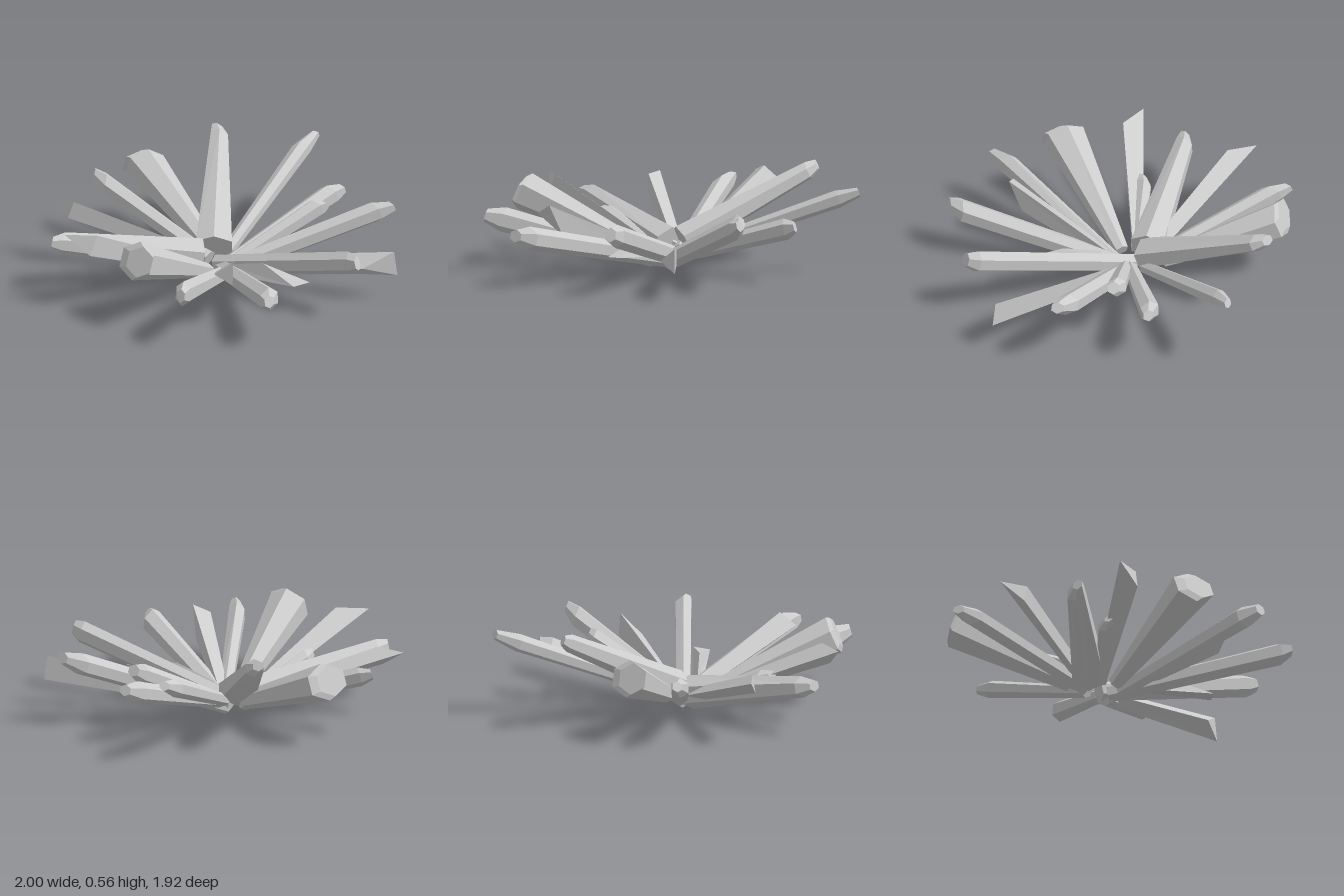
import * as THREE from 'three';

const material = new THREE.MeshStandardMaterial({ color: 0xcccccc, flatShading: true });

// One crystal: a tapering prism from base to tip, closed by a bevelled or slanted end.
// w/h = [base, end] width and height, bevel = length of the point, k = size of the end facet,
// slant = how far one side runs ahead of the other, tilt = the same from bottom to top.
function crystal({ name, base, tip, w, h = w, sides = 6, roll = 0, bevel = 0.09, k = 0.55, slant = 0.02, tilt = 0 }) {
  const start = new THREE.Vector3(...base), end = new THREE.Vector3(...tip);
  const dir = end.clone().sub(start).normalize();
  const side = new THREE.Vector3(0, 1, 0).cross(dir).normalize();
  const up = dir.clone().cross(side);

  const ring = (centre, width, height, lean, shift = 0) => Array.from({ length: sides }, (_, i) => {
    const a = ((i + 0.5) / sides) * Math.PI * 2 + roll;
    const u = Math.cos(a), v = Math.sin(a);
    return centre.clone()
      .addScaledVector(side, u * width / 2 + shift)
      .addScaledVector(up, v * height / 2)
      .addScaledVector(dir, lean * (u * slant + v * tilt));
  });

  const rings = [ring(start, w[0], h[0], 0)];
  if (bevel > 0) {
    rings.push(ring(end.clone().addScaledVector(dir, -bevel), w[1], h[1], 1));
    rings.push(ring(end, w[1] * k, h[1] * k, k, Math.sign(slant) * w[1] * 0.14));
  } else {
    rings.push(ring(end, w[1], h[1], 1));
  }

  const points = [];
  const tri = (...p) => p.forEach((q) => points.push(q.x, q.y, q.z));
  for (let r = 0; r < rings.length - 1; r++) {
    const a = rings[r], b = rings[r + 1];
    for (let i = 0; i < sides; i++) {
      const j = (i + 1) % sides;
      tri(a[i], a[j], b[j]);
      tri(a[i], b[j], b[i]);
    }
  }
  // end caps
  const first = rings[0], last = rings[rings.length - 1];
  for (let i = 1; i < sides - 1; i++) {
    tri(first[0], first[i + 1], first[i]);
    tri(last[0], last[i], last[i + 1]);
  }

  const geometry = new THREE.BufferGeometry();
  geometry.setAttribute('position', new THREE.Float32BufferAttribute(points, 3));
  geometry.computeVertexNormals();
  const mesh = new THREE.Mesh(geometry, material);
  mesh.name = name;
  return mesh;
}

export function createModel() {
  const group = new THREE.Group();
  group.name = 'crystalCluster';

  // slim pointed crystals
  const pointed = [
    { base: [-0.03, 0.1, -0.12], tip: [-0.02, 0.385, -0.94], w: [0.09, 0.11], slant: -0.04 },
    { base: [0.06, 0.13, -0.06], tip: [0.99, 0.48, -0.185], w: [0.07, 0.1], bevel: 0.13, slant: -0.02 },
    { base: [0, 0.1, 0], tip: [0.75, 0.335, 0.185], w: [0.08, 0.12], bevel: 0.07, slant: -0.02 },
    { base: [-0.02, 0.1, 0.02], tip: [0.475, 0.36, 0.28], w: [0.08, 0.11], bevel: 0.04, k: 0.65, slant: -0.02 },
    { base: [-0.06, 0.06, -0.02], tip: [0.595, 0.41, 0.665], w: [0.1, 0.12], bevel: 0.1, slant: -0.04 },
    { base: [-0.05, 0.09, -0.05], tip: [-0.065, 0.37, 0.95], w: [0.09, 0.1], h: [0.11, 0.13], bevel: 0.06, k: 0.65, slant: -0.01 },
    { base: [-0.06, 0.08, 0], tip: [-0.665, 0.305, 0.81], w: [0.1, 0.13], bevel: 0.07, slant: -0.03 },
    { base: [-0.13, 0.08, 0.04], tip: [-0.985, 0.34, 0.4], w: [0.08, 0.1], h: [0.09, 0.14], bevel: 0.1 },
    { base: [-0.15, 0.1, -0.1], tip: [-0.53, 0.28, -0.31], w: [0.07, 0.09], bevel: 0.05 },
  ];

  // heavy crystals that narrow toward the tip
  const heavy = [
    { base: [-0.01, 0.17, -0.1], tip: [0.63, 0.55, -0.55], w: [0.23, 0.11], h: [0.17, 0.1], bevel: 0.06, k: 0.6 },
    { base: [-0.09, 0.14, -0.14], tip: [-0.755, 0.31, -0.66], w: [0.21, 0.11], h: [0.19, 0.12], bevel: 0.07 },
  ];

  // crystals that flare to a broad end
  const flared = [
    { base: [0.04, 0.14, -0.18], tip: [0.27, 0.4, -0.81], w: [0.1, 0.22], h: [0.1, 0.21], bevel: 0.02, k: 0.85, slant: 0.025 },
    { base: [-0.17, 0.1, -0.02], tip: [-0.9, 0.425, 0.03], w: [0.08, 0.24], h: [0.08, 0.22], bevel: 0.02, k: 0.8, slant: 0.01 },
  ];

  // three-sided blades cut off at a slant
  const blade = { sides: 3, bevel: 0 };
  const blades = [
    { base: [-0.01, 0.1, 0.04], tip: [0.247, 0.23, 0.89], w: [0.06, 0.11], h: [0.1, 0.16], slant: 0.11 },
    { base: [-0.13, 0.12, 0.08], tip: [-0.155, 0.2, 0.53], w: [0.05, 0.11], h: [0.06, 0.13], roll: Math.PI / 6, slant: 0.02, tilt: -0.18 },
    { base: [-0.12, 0.1, 0.05], tip: [-0.6, 0.35, 0.44], w: [0.08, 0.14], h: [0.08, 0.15], slant: -0.05, tilt: 0.08 },
    { base: [-0.15, 0.1, -0.1], tip: [-0.857, 0.42, -0.355], w: [0.08, 0.16], h: [0.07, 0.14], slant: -0.083 },
    { base: [-0.06, 0.12, -0.15], tip: [-0.425, 0.37, -0.825], w: [0.08, 0.12], h: [0.08, 0.12], slant: -0.09 },
  ].map((b) => ({ ...blade, ...b }));

  const kinds = { pointedCrystal: pointed, heavyCrystal: heavy, flaredCrystal: flared, bladeCrystal: blades };
  for (const [name, list] of Object.entries(kinds)) {
    list.forEach((spec, i) => group.add(crystal({ name: `${name}${i + 1}`, ...spec })));
  }

  // stand the cluster on the ground
  const box = new THREE.Box3().setFromObject(group);
  group.children.forEach((m) => m.geometry.translate(0, -box.min.y, 0));
  return group;
}
